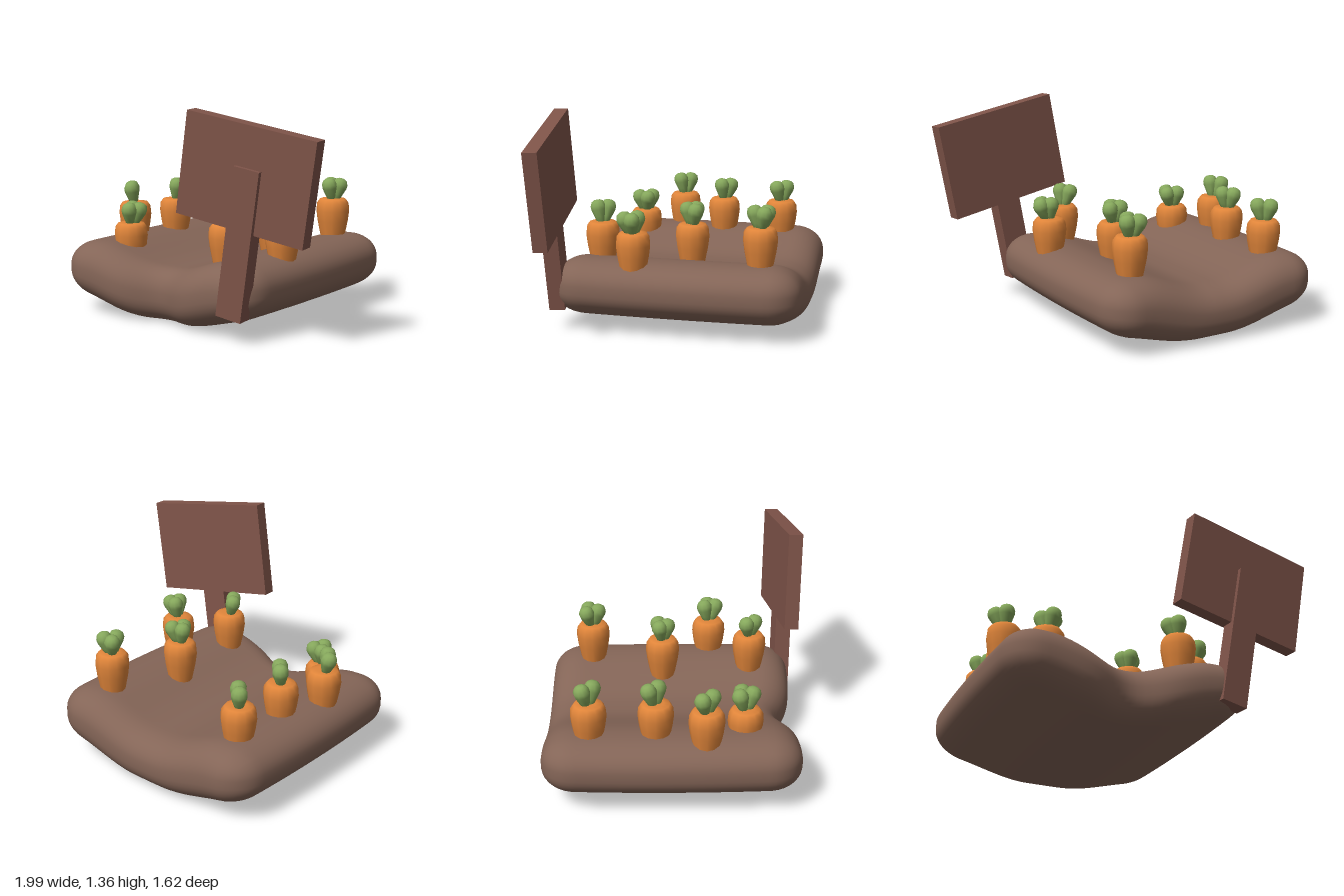
import * as THREE from 'three';
import { mergeVertices } from 'three/addons/utils/BufferGeometryUtils.js';

const mat = (color) => new THREE.MeshStandardMaterial({ color });
const soilMat = mat(0x846557), carrotMat = mat(0xe0853a), leafMat = mat(0x86a85c), woodMat = mat(0x7f5449);

function part(name, geometry, material) {
  const mesh = new THREE.Mesh(geometry, material);
  mesh.name = name;
  return mesh;
}

const lathe = (pts, sides) => new THREE.LatheGeometry(pts.map(([r, y]) => new THREE.Vector2(r, y)), sides);

// Rounded slab, sagging along the middle, with a dent in the front edge
function soilGeometry() {
  const half = [0.785, 0.17, 0.785], radius = [0.2, 0.15, 0.2];
  let geo = new THREE.BoxGeometry(1.57, 0.34, 1.57, 36, 12, 36);
  geo.deleteAttribute('normal');
  geo.deleteAttribute('uv');
  geo = mergeVertices(geo);
  const pos = geo.attributes.position;
  const d = new THREE.Vector3();
  for (let i = 0; i < pos.count; i++) {
    const p = [pos.getX(i), pos.getY(i), pos.getZ(i)];
    const inner = p.map((v, k) => THREE.MathUtils.clamp(v, radius[k] - half[k], half[k] - radius[k]));
    d.fromArray(p.map((v, k) => (v - inner[k]) / radius[k])).normalize();
    let [x, y, z] = inner.map((v, k) => v + d.getComponent(k) * radius[k]);
    // bulging sides, raised flanks
    const ax = Math.abs(x), t = y / 0.34 + 0.5;
    const topLift = 0.115 * THREE.MathUtils.smoothstep(ax, 0.04, 0.55);
    const bottomLift = 0.12 * THREE.MathUtils.smoothstep(ax, 0.12, 0.8);
    y += 0.17 + THREE.MathUtils.lerp(bottomLift, topLift, t);
    if (z > 0) z -= 0.11 * Math.exp(-((x / 0.2) ** 2)) * (z / 0.785) ** 2;
    x *= 1 - 0.03 * (z / 0.7) ** 2;
    pos.setXYZ(i, x - 0.215, y, z - 0.035);
  }
  geo.computeVertexNormals();
  return geo;
}

// Root and leaf profiles, from the bottom up
const carrotGeo = lathe([[0, -0.4], [0.05, -0.38], [0.074, -0.28], [0.1, -0.15], [0.109, -0.08],
  [0.104, -0.03], [0.085, -0.004], [0.05, 0], [0, 0]], 12);
const leafGeo = lathe([[0, -0.03], [0.022, -0.02], [0.036, 0.03], [0.049, 0.075], [0.05, 0.1],
  [0.038, 0.125], [0.02, 0.135], [0, 0.137]], 10);

// x, top y, z, then the x/z offset of each leaf tip
const carrots = [
  [-0.73, 0.65, -0.53, [[-0.03, -0.035], [0.03, 0.03]]],
  [-0.73, 0.65, -0.13, [[-0.025, -0.045], [0.025, 0.015]]],
  [-0.83, 0.655, 0.17, [[-0.055, -0.03], [0, 0.035]]],
  [-0.65, 0.565, 0.41, [[-0.02, -0.04], [0.06, -0.025], [0.025, 0.045]]],
  [0.28, 0.69, -0.55, [[-0.045, -0.04], [0.04, -0.03], [-0.005, 0.04]]],
  [0.12, 0.655, -0.09, [[-0.04, -0.02], [0.045, -0.03], [0, 0.035]]],
  [0.415, 0.65, 0.22, [[0, -0.03], [0.07, -0.01], [0.035, 0.05]]],
  [0.185, 0.655, 0.48, [[-0.055, -0.025], [-0.01, 0.035]]],
];

function makeCarrot([x, y, z, leaves]) {
  const carrot = new THREE.Group();
  carrot.name = 'carrot';
  carrot.position.set(x, y, z);
  carrot.add(part('root', carrotGeo, carrotMat));
  const up = new THREE.Vector3(0, 1, 0);
  for (const [lx, lz] of leaves) {
    const leaf = part('leaf', leafGeo, leafMat);
    // foot near the centre, leaning out to the tip
    leaf.position.set(lx * 0.4, 0, lz * 0.4);
    leaf.quaternion.setFromUnitVectors(up, new THREE.Vector3(lx * 0.6, 0.1, lz * 0.6).normalize());
    carrot.add(leaf);
  }
  return carrot;
}

// Tilted board on a post
function makeSign() {
  const sign = new THREE.Group();
  sign.name = 'sign';
  sign.add(part('board', new THREE.BoxGeometry(0.855, 0.62, 0.09), woodMat));
  const post = part('post', new THREE.BoxGeometry(0.17, 0.905, 0.1), woodMat);
  post.position.set(0.023, -0.387, 0.022);
  sign.add(post);
  sign.position.set(0.517, 0.985, 0.705);
  sign.rotation.set(0.04, 0.095, -0.164, 'YXZ');
  return sign;
}

export function createModel() {
  const model = new THREE.Group();
  model.name = 'carrotPatch';
  model.add(part('soil', soilGeometry(), soilMat));
  carrots.forEach((c) => model.add(makeCarrot(c)));
  model.add(makeSign());
  return model;
}
